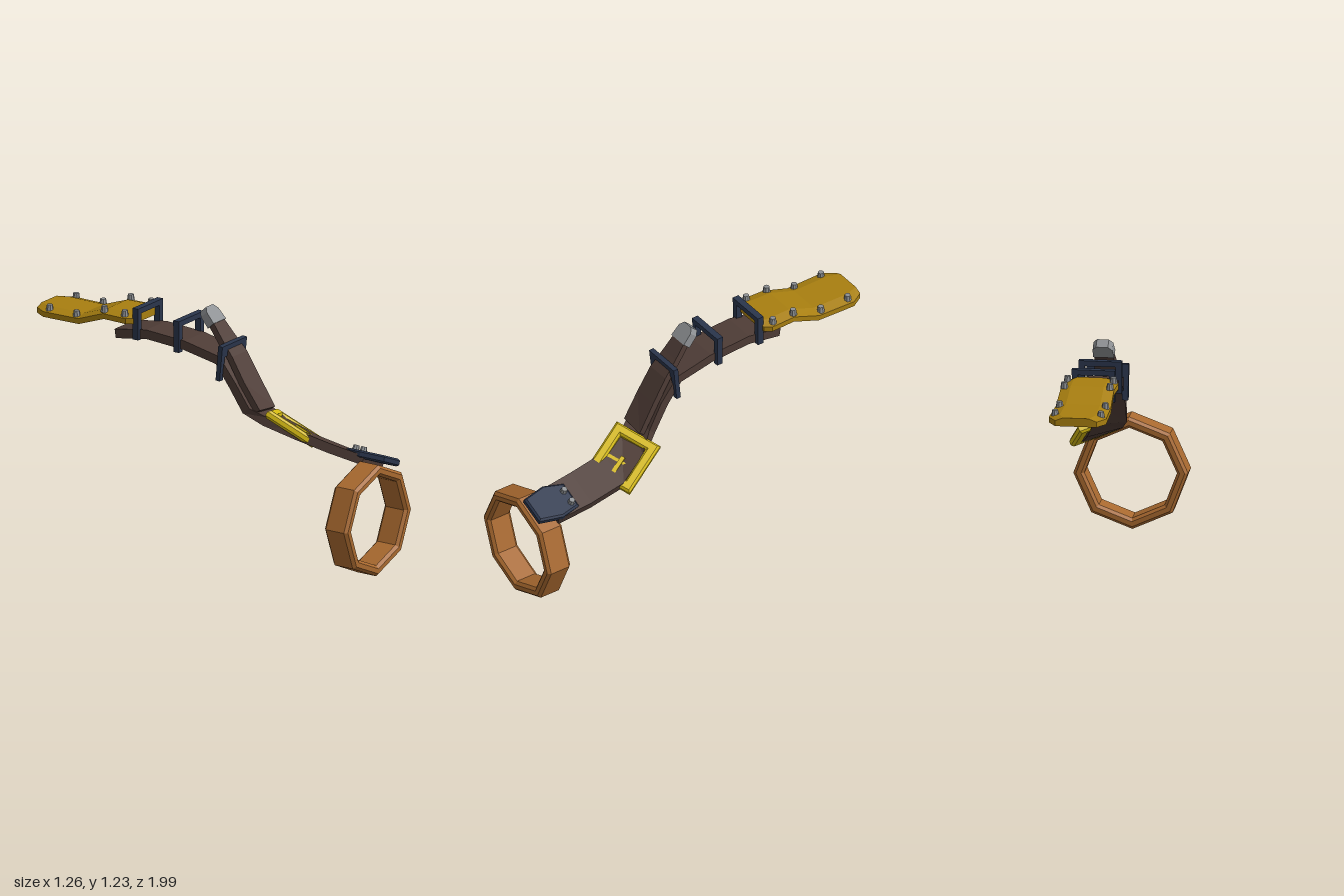
import * as THREE from 'three';

const mat = (name, color) => {
  const m = new THREE.MeshStandardMaterial({ color, flatShading: true });
  m.name = name;
  return m;
};

// Loft a clockwise profile of [across, up] points along sections {u, y, w, tilt, hw}.
function loft(sections, profileOf) {
  const centres = sections.map(s => new THREE.Vector3(s.u, s.y, s.w));
  const rings = sections.map((s, i) => {
    const t = centres[Math.min(i + 1, centres.length - 1)].clone().sub(centres[Math.max(i - 1, 0)]);
    const r = new THREE.Vector3(Math.cos(s.tilt || 0), Math.sin(s.tilt || 0), 0);
    const n = t.cross(r).normalize();
    return profileOf(s.hw).map(([a, b]) => centres[i].clone().addScaledVector(r, a).addScaledVector(n, b));
  });
  const pts = [];
  const n = rings[0].length, last = rings[rings.length - 1];
  for (let i = 0; i + 1 < rings.length; i++) {
    for (let k = 0; k < n; k++) {
      const a = rings[i][k], b = rings[i + 1][k];
      const c = rings[i + 1][(k + 1) % n], d = rings[i][(k + 1) % n];
      pts.push(a, b, c, a, c, d);
    }
  }
  for (let k = 1; k + 1 < n; k++) {
    pts.push(rings[0][0], rings[0][k], rings[0][k + 1]);
    pts.push(last[0], last[k + 1], last[k]);
  }
  const g = new THREE.BufferGeometry().setFromPoints(pts);
  g.computeVertexNormals();
  return g;
}

const band = t => hw => [[-hw, t / 2], [hw, t / 2], [hw, -t / 2], [-hw, -t / 2]];
const sect = ([u, y, w, hw, tilt = 0]) => ({ u, y, w, hw, tilt });

function polygon(pts, Type = THREE.Shape) {
  return new Type(pts.map(([x, y]) => new THREE.Vector2(x, y)));
}
const rect = (a, b) => [[-a, -b], [a, -b], [a, b], [-a, b]];

export function createModel() {
  const leather = mat('brown leather', 0x4e3c36);
  const navy = mat('navy metal', 0x2a354c);
  const gold = mat('dark gold', 0xa87f10);
  const yellow = mat('bright yellow', 0xd6bb12);
  const copper = mat('copper ring', 0xa8692f);
  const steel = mat('grey steel', 0x8e9194);

  const model = new THREE.Group();
  const rig = new THREE.Group();
  rig.name = 'strapAssembly';
  rig.rotation.y = 0.471;
  model.add(rig);

  const add = (name, geo, material, parent = rig, x = 0, y = 0, z = 0) => {
    const m = new THREE.Mesh(geo, material);
    m.name = name;
    m.position.set(x, y, z);
    parent.add(m);
    return m;
  };
  const box = (name, w, h, d, material, parent, x, y, z) =>
    add(name, new THREE.BoxGeometry(w, h, d), material, parent, x, y, z);

  // Main strap: flat at the back, dropping steeply, then twisting onto the ring
  add('mainStrap', loft([
    [-0.05, 1.015, -0.62, 0.09], [-0.05, 1.045, -0.43, 0.09], [-0.05, 1.03, -0.2, 0.09],
    [-0.045, 0.985, 0, 0.085], [-0.045, 0.87, 0.09, 0.085], [-0.04, 0.74, 0.17, 0.085, -0.1],
    [0.005, 0.67, 0.26, 0.095, -0.3], [0.055, 0.605, 0.42, 0.1, -0.39],
    [0.06, 0.57, 0.62, 0.1, -0.39], [0.06, 0.545, 0.82, 0.095, -0.39],
  ].map(sect), band(0.048)), leather);

  // Free end of the strap, curling up and back, with a metal tip
  add('strapTail', loft([
    [-0.042, 1.16, -0.075, 0.045], [-0.042, 1.08, -0.01, 0.055], [-0.042, 1.0, 0.06, 0.065],
    [-0.042, 0.88, 0.135, 0.068], [-0.035, 0.74, 0.225, 0.068, -0.1],
  ].map(sect), band(0.035)), leather);
  add('strapTip', loft([
    [-0.042, 1.215, -0.128, 0.03], [-0.042, 1.195, -0.11, 0.05], [-0.042, 1.145, -0.065, 0.054],
  ].map(sect), band(0.048)), steel);

  // Stepped end plate with sloping side flanges and chamfered corners
  add('endPlate', loft([
    [-0.04, 1.067, -1.095, 0.105], [-0.04, 1.067, -1.03, 0.145], [-0.04, 1.067, -0.82, 0.14],
    [-0.04, 1.12, -0.67, 0.135], [-0.04, 1.12, -0.53, 0.14], [-0.04, 1.12, -0.495, 0.115],
  ].map(sect), hw => [
    [-hw, 0], [-hw * 0.62, 0.016], [hw * 0.62, 0.016], [hw, 0], [hw, -0.028], [-hw, -0.028],
  ]), gold);

  const rivet = (parent, x, y, z) =>
    add('rivet', new THREE.CylinderGeometry(0.015, 0.02, 0.032, 8), steel, parent, x, y, z);
  for (const [w, y] of [[-1.01, 1.085], [-0.845, 1.085], [-0.675, 1.14], [-0.55, 1.14]]) {
    for (const side of [-1, 1]) rivet(rig, -0.04 + side * 0.116, y, w);
  }

  // Staple-shaped strap keepers
  const keeper = (name, w, top, bottom, width, bar, depth, lean) => {
    const g = new THREE.Group();
    g.name = name;
    g.position.set(-0.047, top, w);
    g.rotation.x = lean;
    rig.add(g);
    box('keeperBar', width, bar, depth, navy, g, 0, -bar / 2, 0);
    for (const s of [-1, 1]) {
      const h = top - bottom - bar * 0.5;
      box('keeperLeg', 0.03, h, depth * 0.95, navy, g, s * (width / 2 - 0.016), -bar * 0.5 - h / 2, 0);
    }
  };
  keeper('rearKeeper', -0.485, 1.175, 1.01, 0.22, 0.028, 0.035, 0);
  keeper('middleKeeper', -0.235, 1.155, 0.99, 0.22, 0.028, 0.035, 0);
  keeper('frontKeeper', 0.035, 1.07, 0.885, 0.215, 0.06, 0.026, 0.1);

  // Octagonal ring with bevelled rims
  const octagon = r => Array.from({ length: 8 }, (_, i) => {
    const a = i * Math.PI / 4 - 0.03;
    return [r * Math.cos(a), r * Math.sin(a)];
  });
  const ringShape = polygon(octagon(0.276));
  ringShape.holes.push(polygon(octagon(0.25), THREE.Path));
  const ringGeo = new THREE.ExtrudeGeometry(ringShape, {
    depth: 0.11, bevelEnabled: true, bevelSegments: 1, bevelSize: 0.014, bevelThickness: 0.015,
  });
  add('ring', ringGeo.translate(0, 0, -0.055), copper, rig, -0.055, 0.29, 0.87);

  // Tab fixing the strap to the ring
  const tab = new THREE.Group();
  tab.name = 'ringTab';
  tab.position.set(0.068, 0.572, 0.81);
  tab.rotation.z = -0.39;
  rig.add(tab);
  const tabShape = polygon([[-0.06, 0.11], [-0.09, 0.01], [-0.065, -0.11], [0.065, -0.11], [0.09, 0.01], [0.07, 0.11]]);
  const tabGeo = new THREE.ExtrudeGeometry(tabShape, {
    depth: 0.022, bevelEnabled: true, bevelSegments: 1, bevelSize: 0.01, bevelThickness: 0.009,
  });
  add('tabPlate', tabGeo.translate(0, 0, -0.011).rotateX(-Math.PI / 2), navy, tab);
  for (const s of [-1, 1]) rivet(tab, s * 0.036 + 0.01, 0.027, -0.09);

  // Tilted square buckle with a centre bar and prong
  const buckle = new THREE.Group();
  buckle.name = 'buckle';
  const ex = new THREE.Vector3(0.185, -0.145, 0.187).normalize();
  const ez = ex.clone().cross(new THREE.Vector3(0.159, -0.075, -0.205)).normalize();
  buckle.quaternion.setFromRotationMatrix(new THREE.Matrix4().makeBasis(ex, ez.clone().cross(ex), ez));
  buckle.position.set(0.2, 0.645, 0.29);
  model.add(buckle);
  const frame = polygon(rect(0.136, 0.118));
  frame.holes.push(polygon(rect(0.103, 0.085), THREE.Path));
  const frameGeo = new THREE.ExtrudeGeometry(frame, {
    depth: 0.022, bevelEnabled: true, bevelSegments: 1, bevelSize: 0.011, bevelThickness: 0.012,
  });
  add('buckleFrame', frameGeo.translate(0, 0, -0.011), yellow, buckle);
  box('buckleBar', 0.022, 0.2, 0.022, yellow, buckle, 0.03, 0, 0);
  box('buckleProng', 0.12, 0.022, 0.02, yellow, buckle, 0.06, 0, 0.012);

  return model;
}
